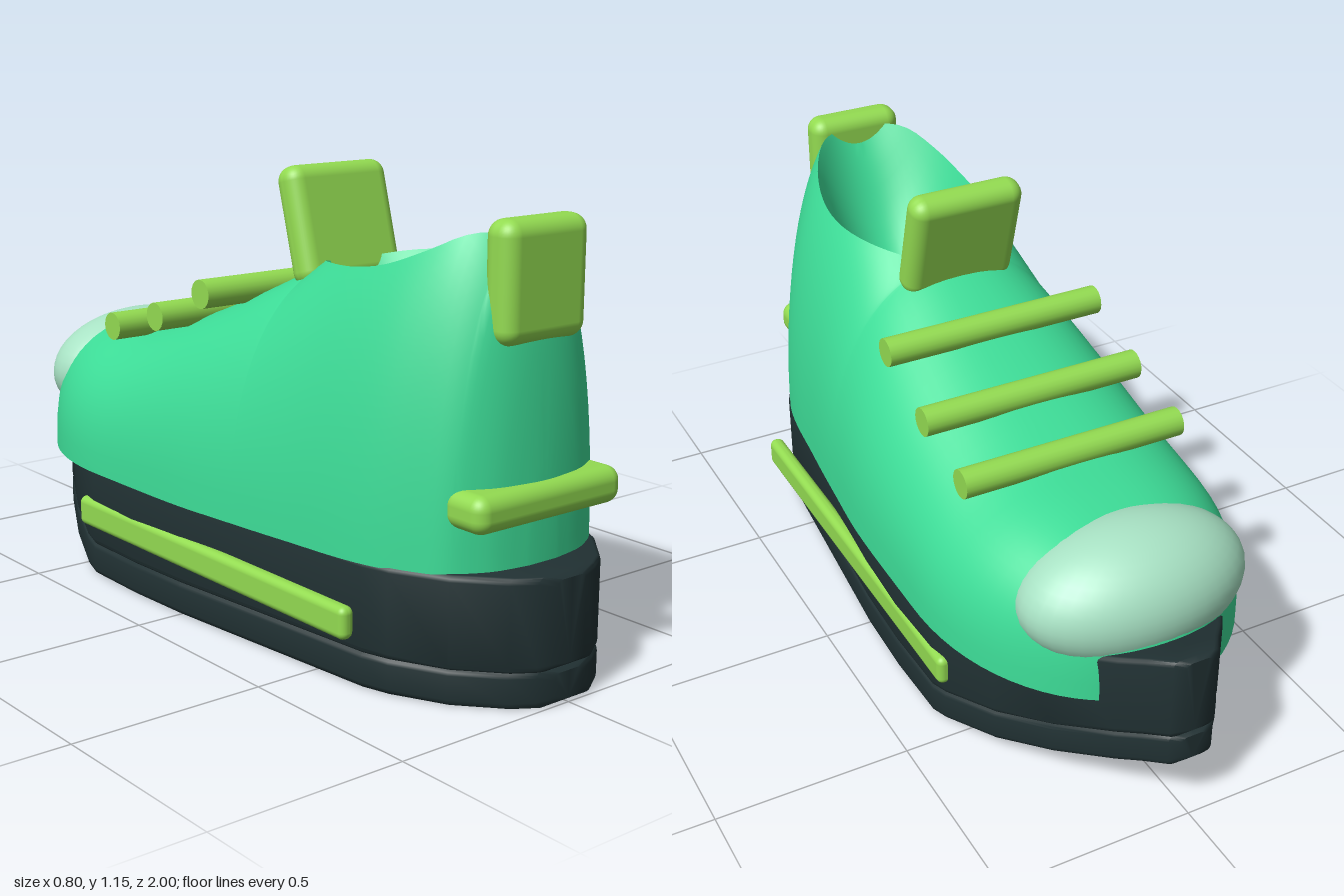
import * as THREE from 'three';
import { toCreasedNormals } from 'three/addons/utils/BufferGeometryUtils.js';
import { RoundedBoxGeometry } from 'three/addons/geometries/RoundedBoxGeometry.js';

const material = (name, color) => {
  const m = new THREE.MeshStandardMaterial({ color });
  m.name = name;
  return m;
};

// Smooth lookup through [z, value] points
function smooth(points) {
  const slope = (i) => {
    const a = points[Math.max(i - 1, 0)], b = points[Math.min(i + 1, points.length - 1)];
    return (b[1] - a[1]) / (b[0] - a[0]);
  };
  return (z) => {
    let i = 0;
    while (i < points.length - 2 && z > points[i + 1][0]) i++;
    const [z0, v0] = points[i], [z1, v1] = points[i + 1];
    const d = z1 - z0, t = THREE.MathUtils.clamp((z - z0) / d, 0, 1);
    const t2 = t * t, t3 = t2 * t;
    return v0 * (2 * t3 - 3 * t2 + 1) + v1 * (3 * t2 - 2 * t3)
      + d * (slope(i) * (t3 - 2 * t2 + t) + slope(i + 1) * (t3 - t2));
  };
}

// Skin over mirrored half sections, each { z, half: [[x, y], ...] } from bottom centre to top centre
function loft(sections, crease) {
  const rings = sections.map(({ z, half }) => {
    const other = half.slice(1, -1).reverse().map(([x, y]) => [-x, y]);
    return [...half, ...other].map(([x, y]) => new THREE.Vector3(x, y, z));
  });
  const pos = [];
  const ab = new THREE.Vector3(), ac = new THREE.Vector3();
  const tri = (a, b, c) => {
    if (ab.subVectors(b, a).cross(ac.subVectors(c, a)).length() < 1e-9) return;
    for (const p of [a, b, c]) pos.push(p.x, p.y, p.z);
  };
  const n = rings[0].length;
  for (let i = 0; i < rings.length - 1; i++) {
    for (let j = 0; j < n; j++) {
      const k = (j + 1) % n;
      tri(rings[i][j], rings[i][k], rings[i + 1][k]);
      tri(rings[i][j], rings[i + 1][k], rings[i + 1][j]);
    }
  }
  const first = rings[0], last = rings[rings.length - 1];
  for (let j = 1; j < n - 1; j++) {
    tri(first[0], first[j + 1], first[j]);
    tri(last[0], last[j], last[j + 1]);
  }
  const geometry = new THREE.BufferGeometry();
  geometry.setAttribute('position', new THREE.Float32BufferAttribute(pos, 3));
  return toCreasedNormals(geometry, crease);
}

// Sole outline: z, half width, toe spring
const SOLE = [
  [-1, 0.035, 0.17], [-0.985, 0.06, 0.165], [-0.93, 0.1, 0.147], [-0.88, 0.143, 0.131],
  [-0.75, 0.235, 0.089], [-0.6, 0.31, 0.04], [-0.45, 0.37, 0.01], [-0.4, 0.38, 0],
  [-0.2, 0.385, 0], [0, 0.378, 0], [0.65, 0.32, 0], [0.72, 0.3, 0], [0.85, 0.235, 0],
  [0.95, 0.145, 0], [0.985, 0.09, 0], [1, 0.045, 0],
];

function soleLayer(bottom, top) {
  const r = 0.015;
  return loft(SOLE.map(([z, w, rise], i) => {
    const inset = i === 0 || i === SOLE.length - 1 ? r * 0.7 : 0;
    const b = bottom + rise + inset, t = top + rise - inset;
    const half = [[0, b]];
    for (const [centre, start] of [[b + r, -Math.PI / 2], [t - r, 0]]) {
      for (let j = 0; j <= 3; j++) {
        const p = start + Math.PI / 2 * j / 3;
        half.push([w - r + r * Math.cos(p), centre + r * Math.sin(p)]);
      }
    }
    half.push([0, t]);
    return { z, half };
  }), 0.75);
}

// Upper: rounded sections along the foot, with a scooped opening between z = OPEN and z = HEEL
function upperGeometry() {
  const BASE = 0.3, TOE = -0.89, OPEN = 0.22, HEEL = 0.84, END = 0.908;
  const sideWidth = smooth([[-0.35, 0.4], [0, 0.395], [0.2, 0.377], [0.4, 0.355], [0.65, 0.32],
    [0.8, 0.255], [0.84, 0.225], [0.87, 0.18], [0.895, 0.12], [0.91, 0.03]]);
  const width = (z) => (z < -0.35 ? 0.4 * Math.sqrt(1 - (-(z + 0.35) / 0.545) ** 2.1) : sideWidth(z));
  const ridge = smooth([[-0.89, 0.42], [-0.86, 0.53], [-0.82, 0.59], [-0.75, 0.634], [-0.65, 0.644],
    [-0.55, 0.655], [-0.4, 0.672], [-0.2, 0.735], [0, 0.815], [0.2, 0.905], [0.3, 0.932], [0.5, 0.95],
    [0.6, 0.97], [0.7, 1.01], [0.78, 1.05], [0.84, 1.055]]);
  const top = (z) => (z > HEEL
    ? BASE + 0.755 * Math.sqrt(Math.max(0, 1 - ((z - HEEL) / 0.07) ** 2))
    : ridge(z));
  // Below 1 the section is fuller than an ellipse
  const fullness = smooth([[-0.9, 0.75], [-0.4, 0.8], [0, 0.83], [0.5, 0.95], [0.9, 0.95]]);

  const stations = [];
  for (const [from, to, steps] of [[TOE, OPEN, 36], [OPEN, HEEL, 28], [HEEL, END, 10]]) {
    for (let i = stations.length ? 1 : 0; i <= steps; i++) {
      stations.push(from + (to - from) * (0.5 - 0.5 * Math.cos(Math.PI * i / steps)));
    }
  }
  return loft(stations.map((z) => {
    const w = width(z), rim = top(z), n = fullness(z);
    const u = (2 * z - OPEN - HEEL) / (HEEL - OPEN);
    const scoop = Math.max(0, 1 - u * u);
    const a = Math.min(0.21 * Math.sqrt(scoop), w * 0.9);
    const end = Math.acos((a / w) ** (1 / n));
    const height = (rim - BASE) / Math.sin(end) ** n;
    const half = [[0, BASE]];
    for (let j = 0; j <= 18; j++) {
      const p = end * j / 18;
      half.push([w * Math.max(0, Math.cos(p)) ** n, BASE + height * Math.sin(p) ** n]);
    }
    for (let j = 1; j <= 10; j++) {
      const s = 1 - j / 10;
      half.push([a * s, rim - 0.28 * scoop * (1 - s * s)]);
    }
    return { z, half };
  }), 0.7);
}

export function createModel() {
  const green = material('upper green', 0x3ddc97);
  const lime = material('lime accent', 0x93db51);
  const dark = material('dark rubber', 0x213133);
  const pale = material('pale toe', 0xa8e2c4);

  const shoe = new THREE.Group();
  shoe.name = 'shoe';
  const add = (name, geometry, mat, x, y, z) => {
    const mesh = new THREE.Mesh(geometry, mat);
    mesh.name = name;
    mesh.position.set(x, y, z);
    shoe.add(mesh);
    return mesh;
  };
  const rounded = (w, h, d, r) => new RoundedBoxGeometry(w, h, d, 4, r);

  // Sole layers
  add('outsole', soleLayer(0, 0.088), dark, 0, 0, 0);
  add('midsole', soleLayer(0.084, 0.308), dark, 0, 0, 0);

  // Upper and toe cap
  add('upper', upperGeometry(), green, 0, 0, 0);
  add('toeCap', new THREE.SphereGeometry(1, 40, 24), pale, 0, 0.488, -0.7).scale.set(0.297, 0.17, 0.19);

  // Tongue and heel details
  add('tongue', rounded(0.31, 0.3, 0.085, 0.038), lime, 0, 1.0, 0.18).rotation.x = -0.27;
  add('heelTab', rounded(0.26, 0.28, 0.09, 0.038), lime, 0, 0.95, 0.86);
  add('heelStrip', rounded(0.46, 0.09, 0.13, 0.035), lime, 0, 0.455, 0.873);

  // Laces
  for (const [y, z] of [[0.825, 0], [0.737, -0.205], [0.68, -0.41]]) {
    add('lace', new THREE.CylinderGeometry(0.037, 0.037, 0.6, 20), lime, 0, y, z).rotation.z = Math.PI / 2;
  }

  // Side stripes on the midsole
  for (const side of [1, -1]) {
    add(side > 0 ? 'leftStripe' : 'rightStripe', rounded(0.04, 0.08, 1.13, 0.018), lime, side * 0.37, 0.172, 0.103);
  }
  return shoe;
}
